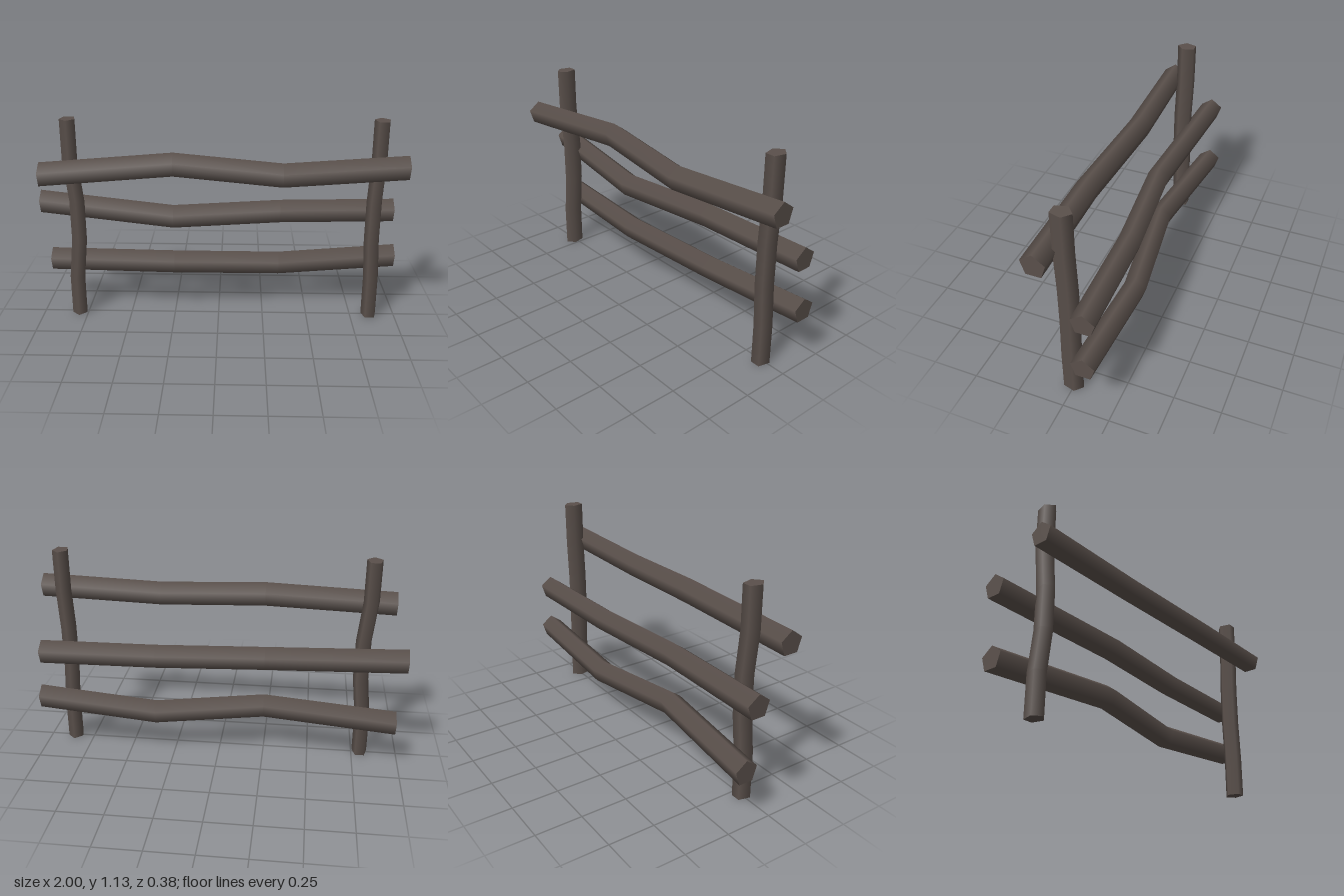
import * as THREE from 'three';

const wood = new THREE.MeshStandardMaterial({ color: 0x5a504b });
wood.name = 'weathered wood';

// Moves each ring of a prism lying along one axis onto its point of the path.
function bend(geometry, axis, path) {
  const pos = geometry.attributes.position;
  const v = new THREE.Vector3();
  for (let i = 0; i < pos.count; i++) {
    v.fromBufferAttribute(pos, i);
    const ring = Math.round((v[axis] + 0.5) * (path.length - 1));
    v[axis] = 0;
    v.add(path[ring]);
    pos.setXYZ(i, v.x, v.y, v.z);
  }
  return geometry;
}

// Five-sided log running along x, with one ridge pointing up.
function makeRail(name, points) {
  const path = points.map((p) => new THREE.Vector3(...p));
  const geometry = new THREE.CylinderGeometry(0.066, 0.066, 1, 5, path.length - 1, false, Math.PI * 1.5);
  geometry.rotateZ(-Math.PI / 2);
  const mesh = new THREE.Mesh(bend(geometry, 'x', path), wood);
  mesh.name = name;
  return mesh;
}

// Upright five-sided post, slightly flattened in x and bowed in the middle.
function makePost(name, x, bow, ridgeAngle) {
  const height = 1.135;
  const path = [0, 0, bow, bow, 0, 0].map((b, i) => new THREE.Vector3(x + b, (height * i) / 5, 0.005));
  const geometry = new THREE.CylinderGeometry(0.056, 0.056, 1, 5, 5, false, ridgeAngle);
  geometry.scale(0.78, 1, 1);
  const mesh = new THREE.Mesh(bend(geometry, 'y', path), wood);
  mesh.name = name;
  return mesh;
}

export function createModel() {
  const fence = new THREE.Group();
  fence.name = 'rustic fence';

  fence.add(
    makePost('rightPost', -0.797, 0.024, 0),
    makePost('leftPost', 0.858, -0.011, Math.PI),
    // Top rail sits in front of the posts, the other two behind
    makeRail('topRail', [[-0.94, 0.862, 0.121], [-0.24, 0.906, 0.073], [0.34, 0.867, 0.125], [0.995, 0.903, 0.09]]),
    makeRail('middleRail', [[-1, 0.632, -0.109], [-0.25, 0.575, -0.034], [0.34, 0.587, -0.101], [0.972, 0.592, -0.121]]),
    makeRail('bottomRail', [[-0.965, 0.274, -0.128], [-0.25, 0.295, -0.051], [0.34, 0.261, -0.126], [0.995, 0.318, -0.12]]),
  );
  return fence;
}
